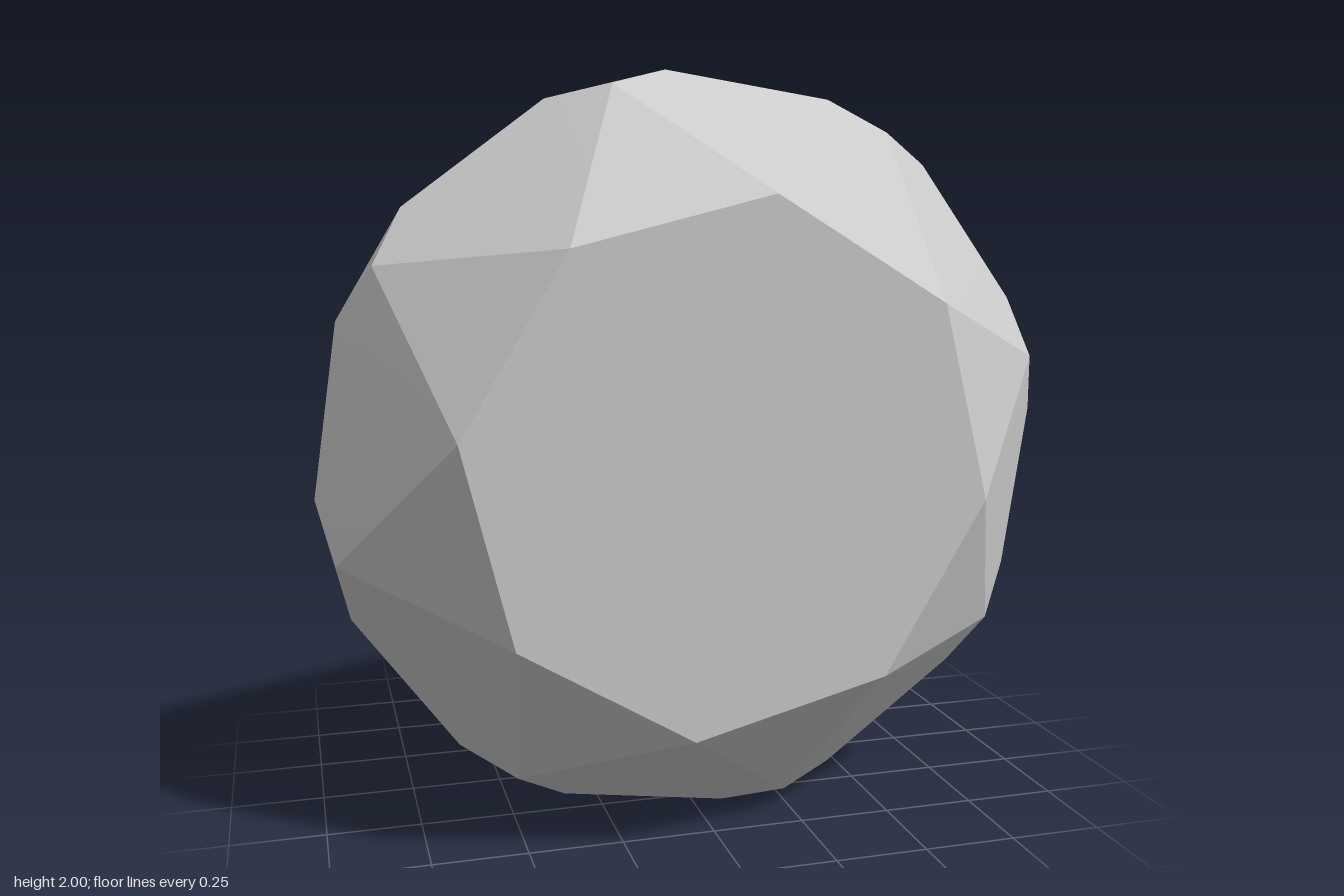
import * as THREE from 'three';

const CENTER_Y = 1;

// Each facet is a planar polygon with its own corners, so edges stay sharp.
function facetMesh(name, facets, material) {
  const positions = [];
  const indices = [];
  for (const facet of facets) {
    const first = positions.length / 3;
    for (const p of facet) positions.push(p.x, p.y, p.z);
    for (let i = 1; i < facet.length - 1; i++) indices.push(first, first + i, first + i + 1);
  }
  const geometry = new THREE.BufferGeometry();
  geometry.setAttribute('position', new THREE.Float32BufferAttribute(positions, 3));
  geometry.setIndex(indices);
  geometry.computeVertexNormals();
  const mesh = new THREE.Mesh(geometry, material);
  mesh.name = name;
  return mesh;
}

// Returns a function giving the point of a ring at an angle in degrees.
function ring(radius, z) {
  return (degrees) => {
    const a = THREE.MathUtils.degToRad(degrees);
    return new THREE.Vector3(radius * Math.cos(a), CENTER_Y + radius * Math.sin(a), z);
  };
}

export function createModel() {
  const gem = new THREE.Group();
  gem.name = 'gem';

  const stone = new THREE.MeshStandardMaterial({ color: 0xcccccc });
  stone.name = 'pale grey stone';

  // Rings of corners from the front table to the small back culet
  const table = ring(0.687, 0.667);
  const crownMid = ring(0.985, 0.38);
  const girdle = ring(1.003, 0.303);
  const pavilionMid = ring(0.63, -0.108);
  const culet = ring(0.06, -0.667);

  const tableFace = [];
  const culetFace = [];
  const crownFacets = [];
  const pavilionFacets = [];
  const half = 22.5;
  const shortHalf = 9.4;
  const longHalf = half - shortHalf;

  for (let k = 0; k < 8; k++) {
    const a = 14.1 + 45 * k; // middle of a short girdle edge
    const b = a + half; // middle of a long girdle edge

    // Crown: star triangle, main pentagon, small girdle triangle
    crownFacets.push(
      [table(a - half), crownMid(a), table(a + half)],
      [table(b), crownMid(b - half), girdle(b - longHalf), girdle(b + longHalf), crownMid(b + half)],
      [crownMid(a), girdle(a - shortHalf), girdle(a + shortHalf)],
    );

    // Pavilion: long main facet and narrow triangle, wound to face backwards
    pavilionFacets.push(
      [
        culet(b - half), pavilionMid(b - half), girdle(b - longHalf),
        girdle(b + longHalf), pavilionMid(b + half), culet(b + half),
      ].reverse(),
      [pavilionMid(a), girdle(a - shortHalf), girdle(a + shortHalf)].reverse(),
    );

    tableFace.push(table(b));
    culetFace.unshift(culet(a));
  }

  gem.add(
    facetMesh('table', [tableFace], stone),
    facetMesh('crown', crownFacets, stone),
    facetMesh('pavilion', pavilionFacets, stone),
    facetMesh('culet', [culetFace], stone),
  );
  return gem;
}
